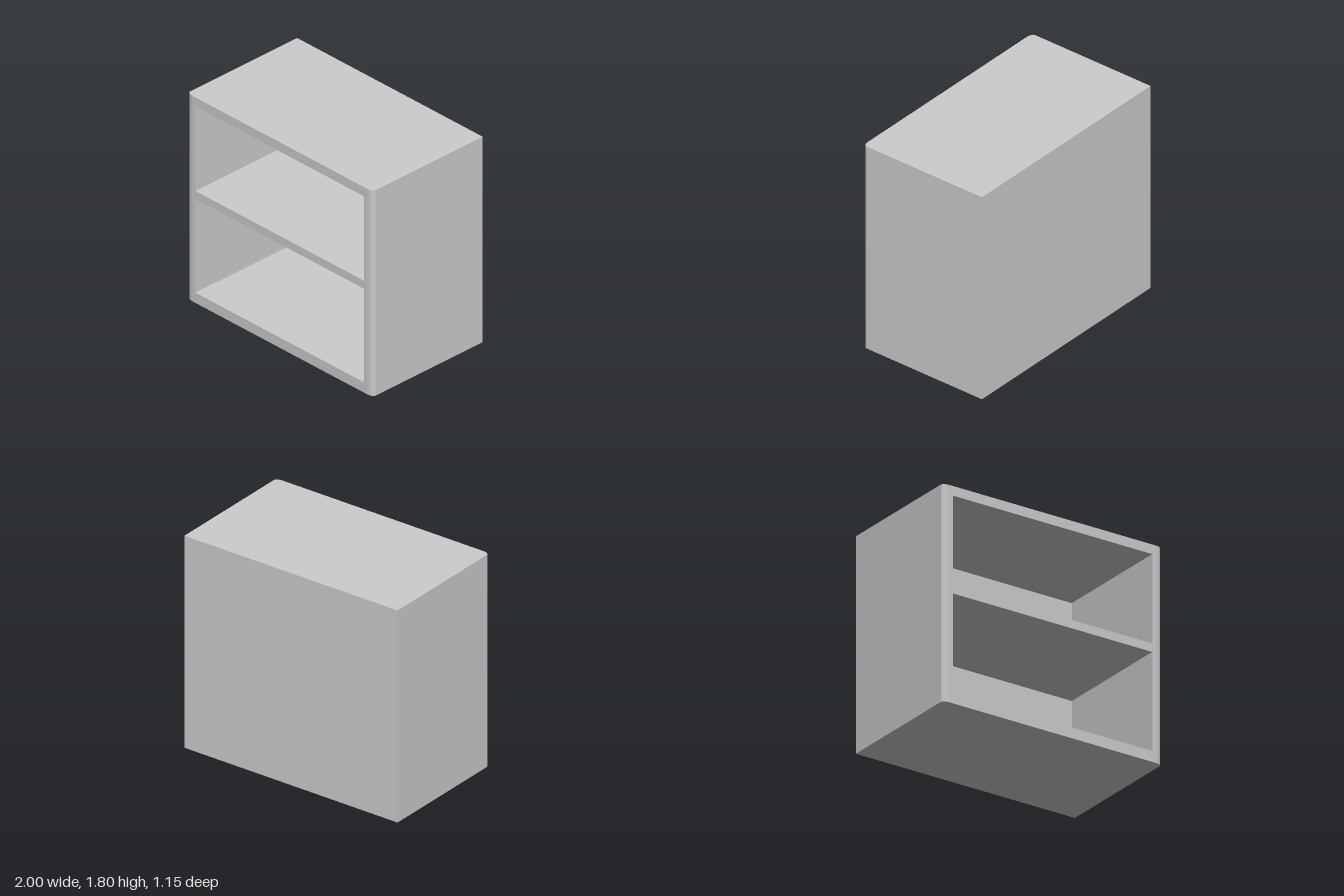
import * as THREE from 'three';

const H = 1.8, HALF_W = 1, HALF_D = 0.575;
const INNER_X = 0.91, BACK_Z = -0.485;

export function createModel() {
  const group = new THREE.Group();
  const material = new THREE.MeshStandardMaterial({ color: 0xcccccc });

  const add = (name, geometry) => {
    const mesh = new THREE.Mesh(geometry, material);
    mesh.name = name;
    group.add(mesh);
    return mesh;
  };

  // Box given by its limits on each axis
  const addBoard = (name, x0, x1, y0, y1, z0, z1) =>
    add(name, new THREE.BoxGeometry(x1 - x0, y1 - y0, z1 - z0))
      .position.set((x0 + x1) / 2, (y0 + y1) / 2, (z0 + z1) / 2);

  // Side panels: plan outline (x, z) with a softened front outer corner
  const plan = [
    [INNER_X, -HALF_D], [HALF_W, -HALF_D], [HALF_W, 0.545], [0.996, 0.555],
    [0.984, 0.566], [0.97, 0.571], [0.945, HALF_D], [INNER_X, HALF_D],
  ];
  for (const [name, side] of [['leftSidePanel', 1], ['rightSidePanel', -1]]) {
    const shape = new THREE.Shape(plan.map(([x, z]) => new THREE.Vector2(side * x, -z)));
    const geometry = new THREE.ExtrudeGeometry(shape, { depth: H, bevelEnabled: false });
    geometry.rotateX(-Math.PI / 2);
    add(name, geometry);
  }

  // Thick back panel between the sides
  addBoard('backPanel', -INNER_X, INNER_X, 0, H, -HALF_D, BACK_Z);

  // Horizontal boards framing the two open compartments
  for (const [name, y0, y1] of [
    ['bottomBoard', 0, 0.09],
    ['middleShelf', 0.91, 0.98],
    ['topBoard', 1.72, H],
  ]) addBoard(name, -INNER_X, INNER_X, y0, y1, BACK_Z, HALF_D);

  return group;
}
